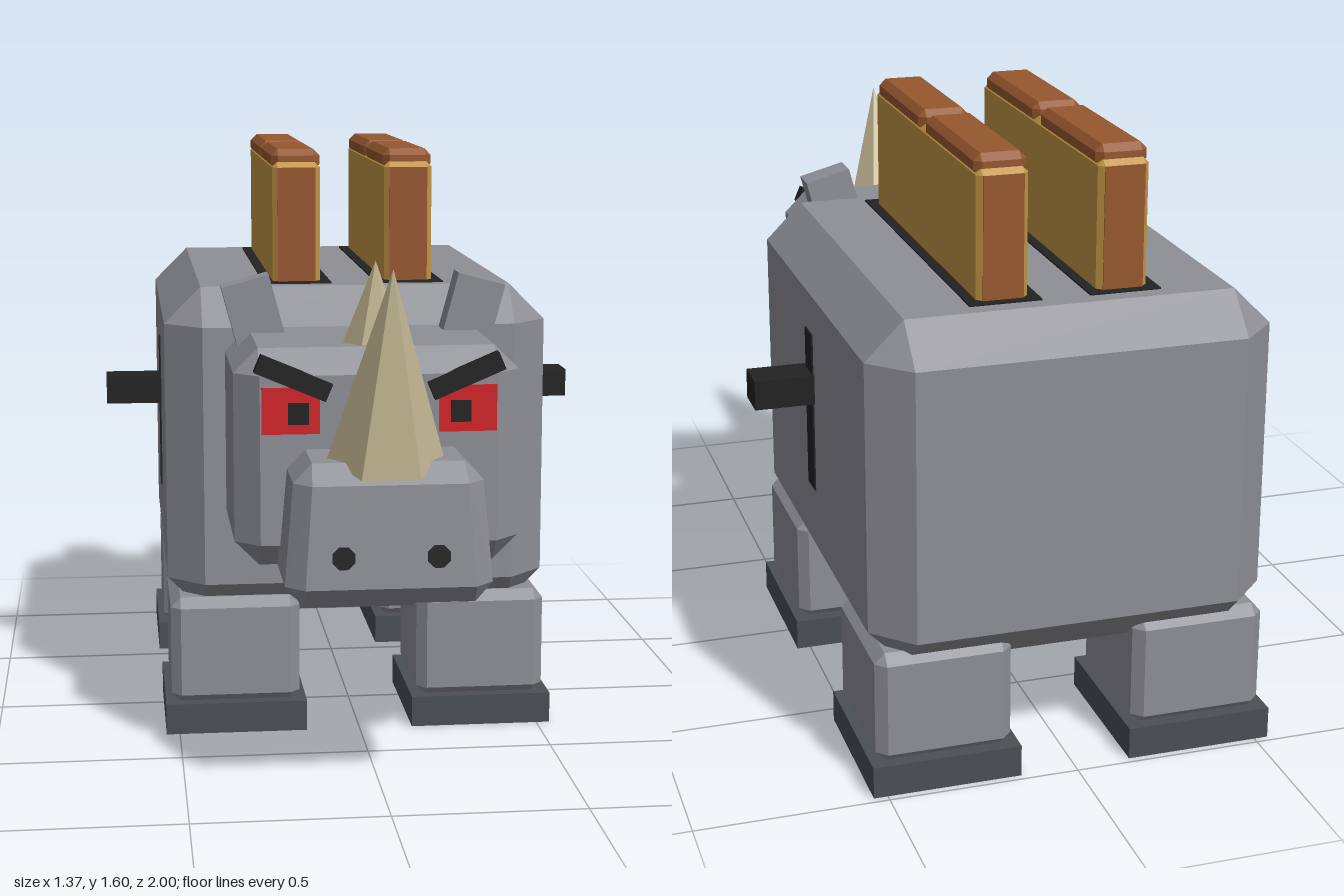
import * as THREE from 'three';
import { ConvexGeometry } from 'three/addons/geometries/ConvexGeometry.js';

const mat = (name, color) => {
  const m = new THREE.MeshStandardMaterial({ color });
  m.name = name;
  return m;
};

// Box with flat 45 degree bevels, given its min and max corners; shape() may move each point
function bevelBox(min, max, c, shape) {
  const pts = [];
  const lo = new THREE.Vector3(...min), hi = new THREE.Vector3(...max);
  const mid = lo.clone().add(hi).multiplyScalar(0.5);
  const half = hi.clone().sub(lo).multiplyScalar(0.5);
  for (const sx of [-1, 1]) for (const sy of [-1, 1]) for (const sz of [-1, 1]) {
    for (let full = 0; full < 3; full++) {
      const p = new THREE.Vector3(
        mid.x + sx * (half.x - (full === 0 ? 0 : c)),
        mid.y + sy * (half.y - (full === 1 ? 0 : c)),
        mid.z + sz * (half.z - (full === 2 ? 0 : c)));
      if (shape) shape(p);
      pts.push(p);
    }
  }
  return new ConvexGeometry(pts);
}

// Plain box given its min and max corners
function box(min, max) {
  const g = new THREE.BoxGeometry(max[0] - min[0], max[1] - min[1], max[2] - min[2]);
  return g.translate((max[0] + min[0]) / 2, (max[1] + min[1]) / 2, (max[2] + min[2]) / 2);
}

export function createModel() {
  const root = new THREE.Group();
  root.name = 'rhinoToaster';
  const grey = mat('hideGrey', 0x8e8f96);
  const darkGrey = mat('footGrey', 0x4b4f53);
  const black = mat('black', 0x222222);
  const red = mat('eyeRed', 0xd22226);
  const ivory = mat('hornIvory', 0xc6b994);
  const bread = mat('breadGold', 0xc29544);
  const crust = mat('crustBrown', 0x96572e);

  const add = (name, geometry, material, parent = root) => {
    const m = new THREE.Mesh(geometry, material);
    m.name = name;
    parent.add(m);
    return m;
  };

  // Body, head and tapered snout
  add('body', bevelBox([-0.525, 0.32, -1], [0.525, 1.23, 0.29], 0.1), grey);
  add('head', bevelBox([-0.365, 0.57, 0.16], [0.365, 1.13, 0.74], 0.063), grey);
  add('snout', bevelBox([-0.262, 0.53, 0.66], [0.262, 0.88, 0.995], 0.048, (p) => {
    const t = (p.y - 0.53) / 0.35;
    p.x *= 1 - 0.12 * t;
    if (p.z > 0.8) p.z -= 0.025 * t;
  }), grey);

  // Six-sided horns leaning forward from their bases
  const horn = (name, r, h, y, z, lean) => {
    const g = new THREE.ConeGeometry(r, h, 6).toNonIndexed();
    g.rotateY(Math.PI / 2).translate(0, h / 2, 0).rotateX(lean);
    // flat facets, vertices towards the left and right
    if (Math.abs(g.attributes.position.getX(1)) < 0) g.rotateY(Math.PI / 6);
    g.computeVertexNormals();
    add(name, g, ivory).position.set(0, y, z);
  };
  horn('frontHorn', 0.145, 0.5, 0.88, 0.86, 0.28);
  horn('rearHorn', 0.08, 0.225, 1.125, 0.597, 0.22);

  for (const s of [1, -1]) {
    const side = s > 0 ? 'left' : 'right';
    const mirrorBox = (x0, x1, y0, y1, z0, z1) =>
      box([Math.min(s * x0, s * x1), y0, z0], [Math.max(s * x0, s * x1), y1, z1]);

    // Ear and brow, tilted
    const ear = add(side + 'Ear', new THREE.BoxGeometry(0.13, 0.2, 0.085), grey);
    ear.position.set(s * 0.29, 1.17, 0.357);
    ear.rotation.z = -s * 0.26;
    const brow = add(side + 'Brow', new THREE.BoxGeometry(0.195, 0.047, 0.036), black);
    brow.position.set(s * 0.219, 1.063, 0.745);
    brow.rotation.z = s * 0.4;

    // Eye, pupil and nostril
    add(side + 'Eye', mirrorBox(0.152, 0.298, 0.92, 1.038, 0.738, 0.747), red);
    add(side + 'Pupil', mirrorBox(0.18, 0.232, 0.945, 1.0, 0.744, 0.752), black);
    const nostril = new THREE.CylinderGeometry(0.03, 0.03, 0.03, 8);
    nostril.rotateY(Math.PI / 8).rotateX(Math.PI / 2 - 0.07);
    add(side + 'Nostril', nostril, black).position.set(s * 0.117, 0.655, 0.976);

    // Lever with its track
    add(side + 'LeverTrack', mirrorBox(0.521, 0.529, 0.585, 1.025, -0.36, -0.285), black);
    add(side + 'Lever', mirrorBox(0.5, 0.685, 0.835, 0.915, -0.37, -0.265), black);

    // Legs and feet
    for (const [end, z] of [['Front', 0.088], ['Back', -0.77]]) {
      const x = s * 0.342;
      add(side + end + 'Leg', bevelBox([x - 0.178, 0.078, z - 0.195], [x + 0.178, 0.378, z + 0.195], 0.027), grey);
      add(side + end + 'Foot', box([x - 0.195, 0, z - 0.212], [x + 0.195, 0.085, z + 0.212]), darkGrey);
    }

    // Toast slot and slice with crust ends and two crowns
    const x = s * 0.155;
    add(side + 'ToastSlot', box([x - 0.093, 1.226, -0.855], [x + 0.093, 1.234, 0.15]), black);
    const toast = new THREE.Group();
    toast.name = side + 'Toast';
    root.add(toast);
    add('slice', bevelBox([x - 0.066, 1.1, -0.83], [x + 0.066, 1.56, 0.115], 0.014), bread, toast);
    add('frontCrust', box([x - 0.052, 1.12, 0.111], [x + 0.052, 1.546, 0.118]), crust, toast);
    add('backCrust', box([x - 0.052, 1.12, -0.833], [x + 0.052, 1.546, -0.826]), crust, toast);
    for (const [z0, z1] of [[-0.375, 0], [0, 0.375]].map(([a, b]) => a < 0 ? [-0.815, -0.372] : [-0.335, 0.092])) {
      add('crown', bevelBox([x - 0.067, 1.535, z0], [x + 0.067, 1.595, z1], 0.018), crust, toast);
    }
  }
  return root;
}
